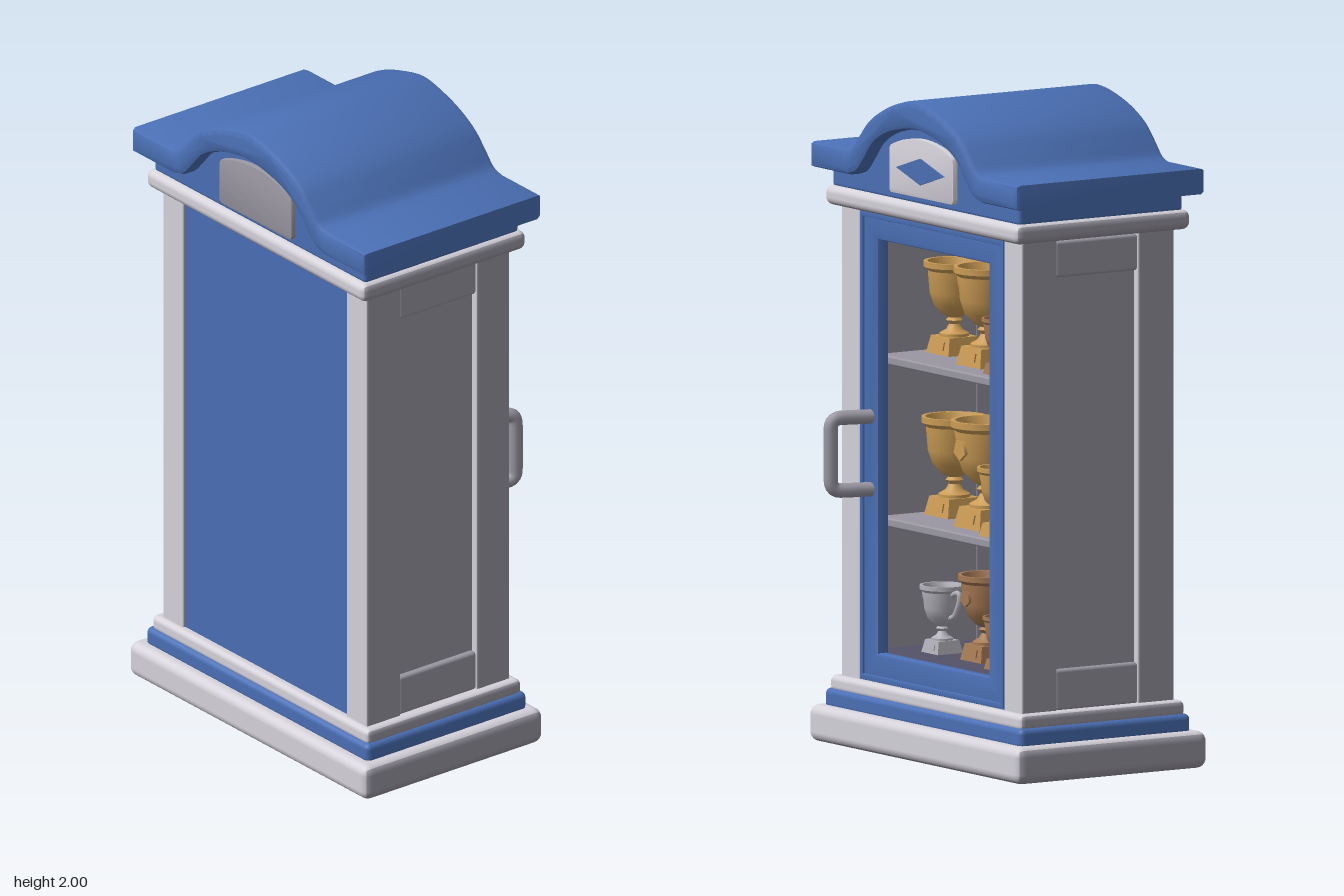
import * as THREE from 'three';
import { toCreasedNormals } from 'three/addons/utils/BufferGeometryUtils.js';
import { RoundedBoxGeometry } from 'three/addons/geometries/RoundedBoxGeometry.js';

const mat = (name, color) => Object.assign(new THREE.MeshStandardMaterial({ color }), { name });

export function createModel() {
  const blue = mat('blue paint', 0x4a6fb4);
  const white = mat('pale trim', 0xd4d1d9);
  const grey = mat('grey side', 0x9a97a2);
  const inside = mat('interior', 0x535268);
  const gold = mat('gold', 0xcb9c55);
  const bronze = mat('bronze', 0xa67a54);
  const silver = mat('silver', 0xb2b1ba);
  // Trim is pale on door face, back and ledges, grey on the other faces
  const trim = [white, white, white, grey, grey, grey];

  const root = new THREE.Group();
  root.name = 'trophyCabinet';
  const add = (name, geo, material, parent = root) => {
    const mesh = new THREE.Mesh(geo, material);
    mesh.name = name;
    parent.add(mesh);
    return mesh;
  };
  // Box from its limits, rounded when r is given
  const box = (name, material, [x0, x1], [y0, y1], [z0, z1], r = 0) => {
    const d = [x1 - x0, y1 - y0, z1 - z0];
    const geo = r ? new RoundedBoxGeometry(...d, 3, r) : new THREE.BoxGeometry(...d);
    geo.translate((x0 + x1) / 2, (y0 + y1) / 2, (z0 + z1) / 2);
    return add(name, geo, material);
  };
  // Profile drawn in z and y, pushed along x from x0 to x1
  const extrudeX = (name, material, shape, x0, x1, bevel) => {
    const geo = new THREE.ExtrudeGeometry(shape, {
      depth: x1 - x0 - 2 * bevel, curveSegments: 16, bevelEnabled: bevel > 0,
      bevelThickness: bevel, bevelSize: bevel, bevelOffset: -bevel, bevelSegments: 2,
    });
    geo.translate(0, 0, x0 + bevel).rotateY(Math.PI / 2);
    return add(name, toCreasedNormals(geo, 0.6), material);
  };
  const rect = (C, w, y0, y1) => {
    const s = new C();
    s.moveTo(-w, y0); s.lineTo(w, y0); s.lineTo(w, y1); s.lineTo(-w, y1); s.closePath();
    return s;
  };

  // Plinth and mouldings
  box('base', trim, [-0.38, 0.305], [0, 0.112], [-0.575, 0.575], 0.03);
  box('baseBand', blue, [-0.342, 0.27], [0.1, 0.163], [-0.535, 0.535], 0.018);
  box('baseMoulding', trim, [-0.33, 0.26], [0.152, 0.203], [-0.522, 0.522], 0.018);
  box('cornice', trim, [-0.35, 0.277], [1.625, 1.685], [-0.527, 0.527], 0.024);
  box('neck', blue, [-0.33, 0.258], [1.68, 1.75], [-0.508, 0.508], 0.012);

  // Corner posts and side panels
  for (const s of [-1, 1]) {
    const zr = (a, b) => (s > 0 ? [a, b] : [-b, -a]);
    box('frontPost', trim, [0.11, 0.237], [0.19, 1.635], zr(0.39, 0.492), 0.008);
    box('backPost', trim, [-0.31, -0.18], [0.19, 1.635], zr(0.39, 0.492), 0.008);
    box('sidePanel', grey, [-0.19, 0.12], [0.19, 1.63], zr(0.392, 0.468));
    box('topRail', grey, [-0.183, 0.113], [1.51, 1.62], zr(0.44, 0.487), 0.01);
    box('bottomRail', grey, [-0.183, 0.113], [0.2, 0.325], zr(0.44, 0.487), 0.01);
  }

  // Back, interior and shelves
  box('backPanel', blue, [-0.302, -0.285], [0.19, 1.635], [-0.392, 0.392]);
  box('interiorBack', inside, [-0.285, -0.27], [0.2, 1.62], [-0.392, 0.392]);
  box('interiorFloor', inside, [-0.27, 0.195], [0.2, 0.288], [-0.392, 0.392]);
  box('interiorCeiling', inside, [-0.27, 0.195], [1.56, 1.626], [-0.392, 0.392]);
  for (const y of [0.69, 1.18]) box('shelf', grey, [-0.27, 0.17], [y - 0.027, y], [-0.392, 0.392], 0.006);

  // Door frame with bevelled opening, then a slim raised lip
  const frame = rect(THREE.Shape, 0.39, 0.203, 1.623);
  frame.holes.push(rect(THREE.Path, 0.3, 0.29, 1.54));
  extrudeX('doorFrame', blue, frame, 0.19, 0.232, 0.01);
  const lip = rect(THREE.Shape, 0.39, 0.203, 1.623);
  lip.holes.push(rect(THREE.Path, 0.372, 0.222, 1.604));
  extrudeX('doorLip', blue, lip, 0.2, 0.238, 0.004);

  // Door handle
  const v = (x, y, z) => new THREE.Vector3(x, y, z);
  const grip = new THREE.CurvePath();
  const pts = [v(0.22, 1.002, 0.335), v(0.32, 1.002, 0.363), v(0.352, 0.967, 0.373),
    v(0.352, 0.817, 0.373), v(0.32, 0.782, 0.363), v(0.22, 0.782, 0.335)];
  grip.add(new THREE.LineCurve3(pts[0], pts[1]));
  grip.add(new THREE.QuadraticBezierCurve3(pts[1], v(0.352, 1.002, 0.373), pts[2]));
  grip.add(new THREE.LineCurve3(pts[2], pts[3]));
  grip.add(new THREE.QuadraticBezierCurve3(pts[3], v(0.352, 0.782, 0.373), pts[4]));
  grip.add(new THREE.LineCurve3(pts[4], pts[5]));
  add('doorHandle', new THREE.TubeGeometry(grip, 48, 0.022, 12), grey);

  // Arched roof: a band of even thickness sweeping over the gable
  const spline = (half) => new THREE.CatmullRomCurve3(
    [...half.map(([z, y]) => v(-z, y, 0)), ...half.slice(0, -1).reverse().map(([z, y]) => v(z, y, 0))],
  ).getPoints(48).map((p) => new THREE.Vector2(p.x, p.y));
  const top = spline([[0.375, 1.812], [0.34, 1.823], [0.3, 1.864], [0.25, 1.913], [0.18, 1.953], [0.09, 1.984], [0, 2]]);
  const under = spline([[0.36, 1.735], [0.315, 1.75], [0.27, 1.795], [0.225, 1.844], [0.16, 1.88], [0.08, 1.902], [0, 1.912]]);
  const roof = new THREE.Shape([
    new THREE.Vector2(-0.562, 1.735), new THREE.Vector2(-0.562, 1.812), ...top,
    new THREE.Vector2(0.562, 1.812), new THREE.Vector2(0.562, 1.735), ...under.slice().reverse(),
  ]);
  extrudeX('roof', blue, roof, -0.376, 0.304, 0.018);

  // Gable filling below the arch
  const gable = new THREE.Shape([
    new THREE.Vector2(-0.36, 1.7), ...under.map((p) => new THREE.Vector2(p.x, p.y + 0.02)), new THREE.Vector2(0.36, 1.7),
  ]);
  extrudeX('gable', blue, gable, -0.33, 0.258, 0);

  // Plaques on both gables, the front one with a plain lozenge inlay
  const plaque = new THREE.Shape();
  plaque.moveTo(-0.16, 1.705);
  plaque.lineTo(0.16, 1.705);
  plaque.quadraticCurveTo(0.173, 1.705, 0.173, 1.72);
  plaque.lineTo(0.173, 1.832);
  plaque.quadraticCurveTo(0.172, 1.848, 0.155, 1.853);
  plaque.quadraticCurveTo(0, 1.912, -0.155, 1.853);
  plaque.quadraticCurveTo(-0.172, 1.848, -0.173, 1.832);
  plaque.lineTo(-0.173, 1.72);
  plaque.quadraticCurveTo(-0.173, 1.705, -0.16, 1.705);
  extrudeX('frontPlaque', white, plaque, 0.25, 0.275, 0.002);
  extrudeX('backPlaque', grey, plaque, -0.346, -0.32, 0.002);
  const lozenge = new THREE.Shape([[-0.13, 1.785], [0, 1.745], [0.13, 1.785], [0, 1.825]].map((p) => new THREE.Vector2(...p)));
  extrudeX('plaqueInlay', blue, lozenge, 0.272, 0.279, 0);

  // Trophy of unit height: tapered plinth, turned cup and two ear handles
  const cup = [[0, 0.18], [0.16, 0.18], [0.16, 0.22], [0.09, 0.26], [0.055, 0.32], [0.09, 0.36], [0.06, 0.39],
    [0.12, 0.42], [0.22, 0.52], [0.265, 0.66], [0.285, 0.9], [0.33, 0.94], [0.33, 1], [0.29, 1],
    [0.25, 0.88], [0.2, 0.66], [0, 0.5]].map(([r, y]) => new THREE.Vector2(r, y));
  const cupGeo = toCreasedNormals(new THREE.LatheGeometry(cup, 24), 0.6);
  const earGeo = (s) => new THREE.TubeGeometry(new THREE.CatmullRomCurve3(
    [[0.27, 0.87], [0.36, 0.91], [0.45, 0.91], [0.46, 0.82], [0.39, 0.66], [0.31, 0.56], [0.2, 0.53]]
      .map(([z, y]) => v(0, y, s * z))), 28, 0.04, 8);
  const ears = [earGeo(1), earGeo(-1)];
  const plinthGeo = toCreasedNormals(
    new THREE.CylinderGeometry(0.255, 0.31, 0.19, 4).rotateY(Math.PI / 4).translate(0, 0.095, 0), 0.6);
  const plateGeo = new THREE.BoxGeometry(0.02, 0.09, 0.22).rotateZ(0.2).translate(0.205, 0.095, 0);
  const badgeGeo = new THREE.CylinderGeometry(0.1, 0.1, 0.03, 5).rotateX(0).rotateZ(-Math.PI / 2)
    .rotateX(Math.PI / 2).translate(0.285, 0.74, 0);

  const trophy = (material, x, y, z, h, badge = false) => {
    const g = new THREE.Group();
    g.name = 'trophy';
    add('cup', cupGeo, material, g);
    add('plinth', plinthGeo, material, g);
    add('plinthPlate', plateGeo, material, g);
    ears.forEach((e) => add('ear', e, material, g));
    if (badge) add('badge', badgeGeo, material, g);
    g.scale.setScalar(h);
    g.position.set(x, y, z);
    root.add(g);
  };
  // Rows: left, centre, small front one, right
  trophy(gold, -0.03, 1.18, 0.28, 0.28);
  trophy(gold, 0.03, 1.18, 0.015, 0.3);
  trophy(bronze, 0.1, 1.18, -0.165, 0.17);
  trophy(gold, -0.1, 1.18, -0.275, 0.3);
  trophy(gold, -0.03, 0.69, 0.28, 0.3);
  trophy(gold, 0.03, 0.69, 0.015, 0.325, true);
  trophy(gold, 0.1, 0.69, -0.165, 0.21);
  trophy(bronze, -0.1, 0.69, -0.275, 0.31);
  trophy(silver, 0.05, 0.288, 0.225, 0.205);
  trophy(bronze, 0.03, 0.288, 0.015, 0.26, true);
  trophy(bronze, 0.1, 0.288, -0.165, 0.16);
  trophy(bronze, -0.1, 0.288, -0.28, 0.205);

  return root;
}
